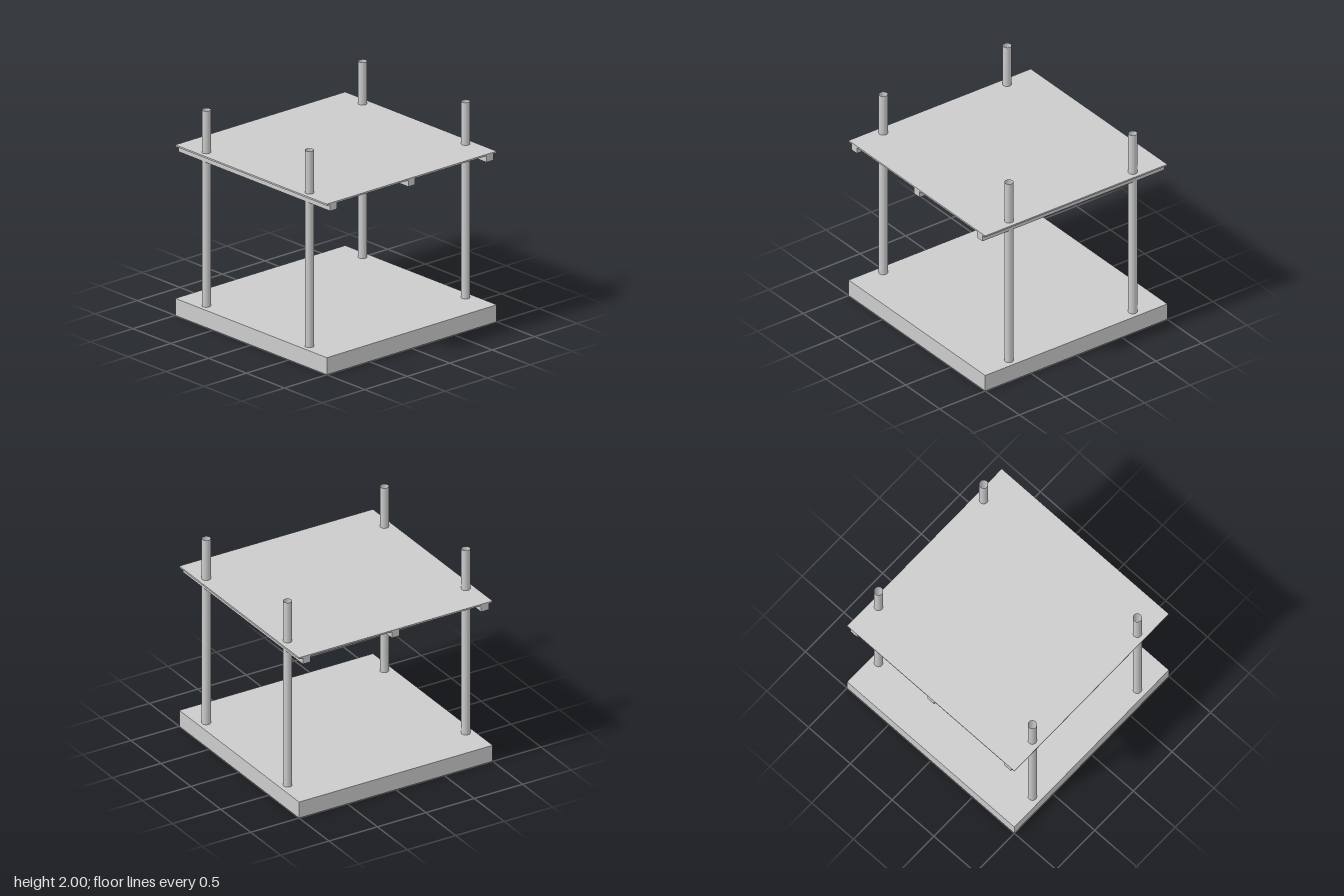
import * as THREE from 'three';

export function createModel() {
  const model = new THREE.Group();
  const solid = new THREE.MeshStandardMaterial({ color: 0xcccccc });
  const thin = new THREE.MeshStandardMaterial({ color: 0xcccccc, side: THREE.DoubleSide });

  const POST_X = 0.68, POST_Z = 0.92, WIDTH = 0.08;
  const BASE_TOP = 0.16, BEAM_BOTTOM = 1.525, BEAM_TOP = 1.585, SHELF_TOP = 1.6;

  // Box spanning y0..y1, centred on x, z
  function slab(name, w, d, y0, y1, x = 0, z = 0) {
    const mesh = new THREE.Mesh(new THREE.BoxGeometry(w, y1 - y0, d), solid);
    mesh.name = name;
    mesh.position.set(x, (y0 + y1) / 2, z);
    model.add(mesh);
  }

  // Thick base and thin upper shelf
  slab('base', 2, 2, 0, BASE_TOP);
  slab('shelf', 2, 2, BEAM_TOP, SHELF_TOP);

  // Three full-width beams under the shelf
  for (const z of [-POST_Z, 0, POST_Z]) {
    slab('beam', 2, WIDTH, BEAM_BOTTOM, BEAM_TOP, 0, z);
  }

  // Short cross rails between the beams, in line with the posts
  const railLength = POST_Z - WIDTH;
  for (const x of [-POST_X, POST_X]) {
    for (const z of [-POST_Z / 2, POST_Z / 2]) {
      slab('crossRail', WIDTH, railLength, BEAM_BOTTOM, BEAM_TOP, x, z);
    }
  }

  // Four open-ended tubular posts rising through the shelf
  const postHeight = 2 - BASE_TOP;
  const postGeometry = new THREE.CylinderGeometry(WIDTH / 2, WIDTH / 2, postHeight, 32, 1, true);
  for (const x of [-POST_X, POST_X]) {
    for (const z of [-POST_Z, POST_Z]) {
      const post = new THREE.Mesh(postGeometry, thin);
      post.name = 'post';
      post.position.set(x, BASE_TOP + postHeight / 2, z);
      model.add(post);
    }
  }

  return model;
}
